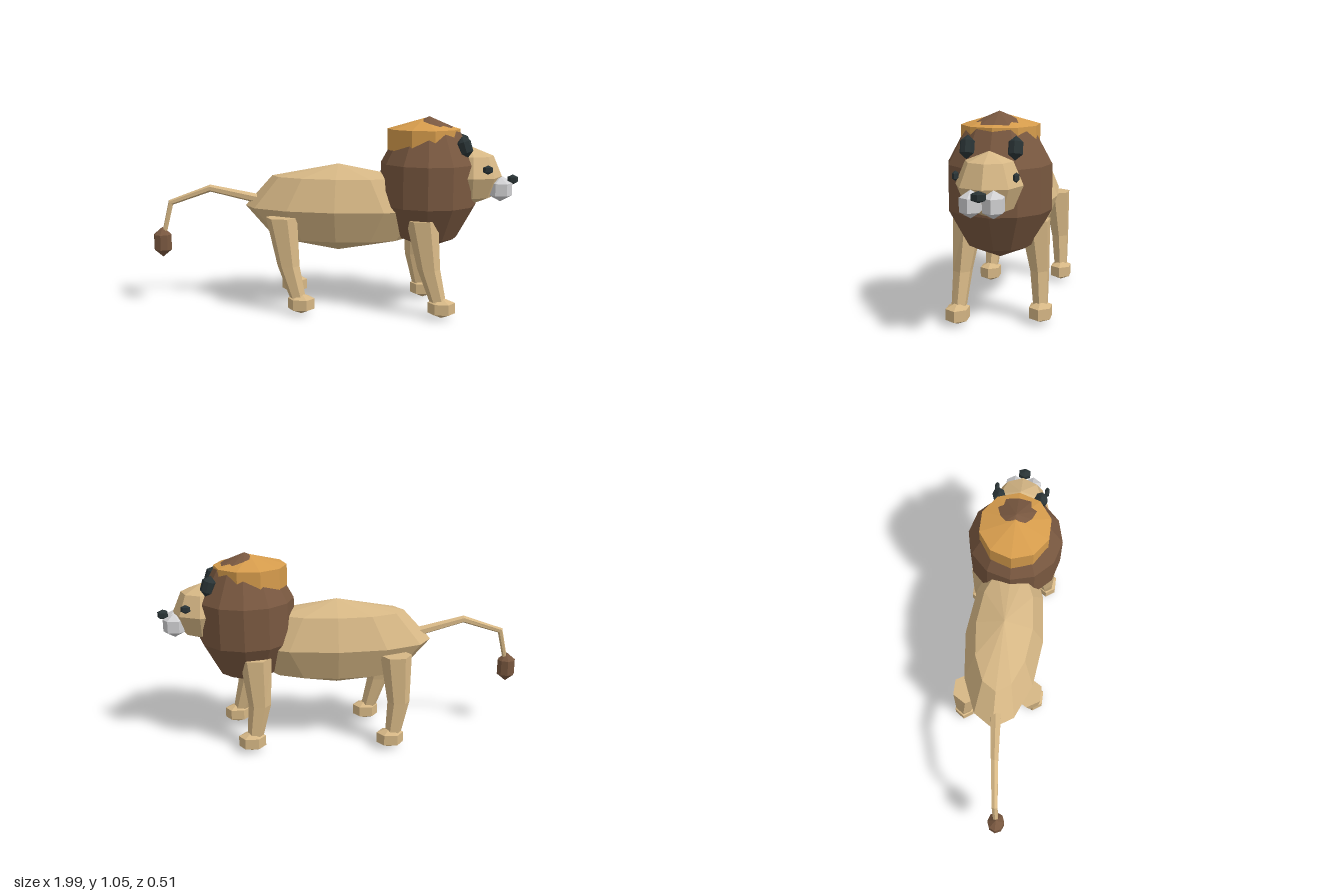
import * as THREE from 'three';

const mat = (name, color) => new THREE.MeshStandardMaterial({ name, color, flatShading: true });

export function createModel() {
  const lion = new THREE.Group();
  lion.name = 'lion';
  const fur = mat('tan fur', 0xd6b785);
  const brown = mat('brown mane', 0x795840);
  const gold = mat('golden hair', 0xd69c4c);
  const dark = mat('dark slate', 0x2a3436);
  const white = mat('light grey', 0xd0d0d2);

  function add(name, geometry, material) {
    const mesh = new THREE.Mesh(geometry, material);
    mesh.name = name;
    lion.add(mesh);
    return mesh;
  }

  // Low-poly ellipsoid
  function blob(name, material, pos, radii, around, rows) {
    const mesh = add(name, new THREE.SphereGeometry(1, around, rows), material);
    mesh.position.set(...pos);
    mesh.scale.set(...radii);
    return mesh;
  }

  // Closed limb through sections [x, y, z, radius across, radius in z];
  // flat keeps every section level, otherwise it turns with the path
  function limb(name, material, sections, sides, flat) {
    const pos = [], index = [], n = sections.length;
    sections.forEach(([x, y, z, ru, rz], k) => {
      const a = sections[Math.max(k - 1, 0)], b = sections[Math.min(k + 1, n - 1)];
      const tilt = flat ? 0 : Math.atan2(b[0] - a[0], a[1] - b[1]);
      for (let i = 0; i < sides; i++) {
        const t = (i / sides) * Math.PI * 2, u = Math.cos(t) * ru;
        pos.push(x + u * Math.cos(tilt), y + u * Math.sin(tilt), z + Math.sin(t) * rz);
      }
    });
    const first = n * sides, last = first + 1;
    pos.push(...sections[0].slice(0, 3), ...sections[n - 1].slice(0, 3));
    for (let i = 0; i < sides; i++) {
      const j = (i + 1) % sides;
      for (let k = 0; k < n - 1; k++) {
        const a = k * sides, b = a + sides;
        index.push(a + i, a + j, b + j, a + i, b + j, b + i);
      }
      index.push(first, j, i, last, (n - 1) * sides + i, (n - 1) * sides + j);
    }
    const g = new THREE.BufferGeometry();
    g.setAttribute('position', new THREE.Float32BufferAttribute(pos, 3));
    g.setIndex(index);
    g.computeVertexNormals();
    return add(name, g, material);
  }

  // Trunk, mane, hair tuft and head
  blob('body', fur, [0.03, 0.555, 0], [0.52, 0.24, 0.215], 12, 4);
  blob('mane', brown, [0.518, 0.695, 0], [0.27, 0.36, 0.27], 12, 5);
  blob('hairTuft', gold, [0.49, 0.932, 0], [0.225, 0.113, 0.222], 10, 3);
  blob('head', fur, [0.75, 0.738, 0], [0.16, 0.155, 0.16], 8, 4);
  blob('nose', dark, [0.967, 0.721, 0], [0.032, 0.027, 0.042], 6, 3);

  for (const s of [1, -1]) {
    const side = s > 0 ? 'Near' : 'Far';
    blob('muzzle' + side, white, [0.9, 0.675, s * 0.052], [0.07, 0.065, 0.061], 6, 3);
    blob('eye' + side, dark, [0.825, 0.787, s * 0.14], [0.029, 0.024, 0.016], 6, 3);
    const ear = blob('ear' + side, dark, [0.705, 0.902, s * 0.114], [0.042, 0.058, 0.04], 8, 3);
    ear.rotation.z = 0.3;

    // Legs: the far pair stands a little further back
    for (const [name, x] of [['hind', -0.15], ['front', 0.6]]) {
      const foot = x - (s > 0 ? 0 : 0.1);
      const top = x - (s > 0 ? 0.11 : 0.13);
      const knee = s > 0 ? x - 0.07 : x - 0.145;
      limb(name + 'Leg' + side, fur, [
        [top, 0.52, s * 0.165, 0.085, 0.081],
        [knee, 0.26, s * 0.188, 0.06, 0.05],
        [foot - 0.015, 0.07, s * 0.198, 0.042, 0.038],
      ], 6, true);
      blob(name + 'Foot' + side, fur, [foot, 0.0565, s * 0.2], [0.084, 0.0565, 0.07], 6, 3);
    }
  }

  // Tail with its brown tip
  limb('tail', fur, [
    [-0.38, 0.585, 0.005, 0.027, 0.035],
    [-0.68, 0.652, 0.038, 0.02, 0.022],
    [-0.9, 0.572, 0.066, 0.017, 0.017],
    [-0.94, 0.4, 0.075, 0.013, 0.014],
  ], 6, false);
  blob('tailTip', brown, [-0.95, 0.35, 0.077], [0.058, 0.085, 0.052], 8, 3);

  return lion;
}
